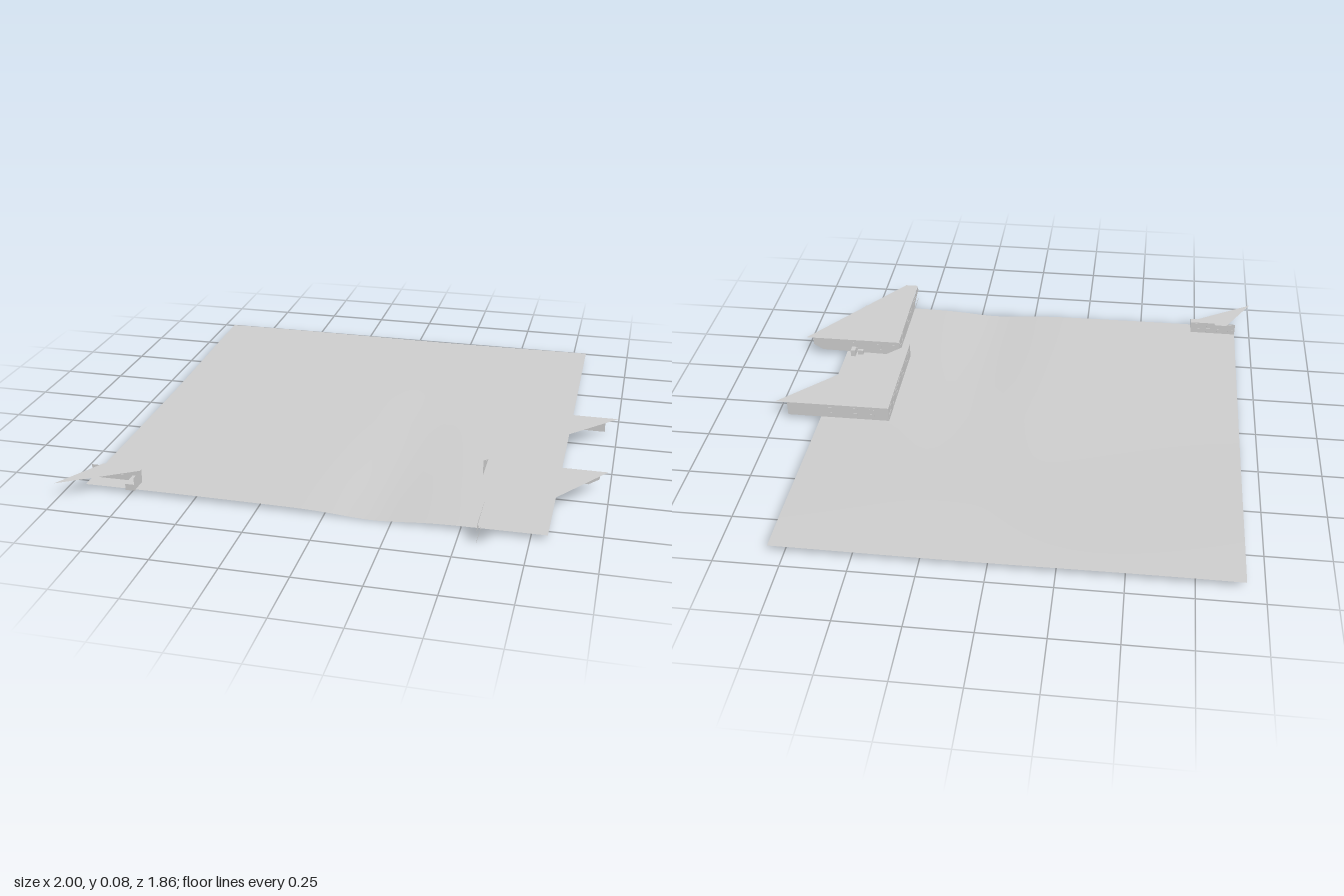
import * as THREE from 'three';

export function createModel() {
  const model = new THREE.Group();
  const grey = new THREE.MeshStandardMaterial({ color: 0xcccccc, side: THREE.DoubleSide });
  grey.name = 'plain grey';

  function add(parent, name, geometry) {
    const mesh = new THREE.Mesh(geometry, grey);
    mesh.name = name;
    parent.add(mesh);
    return mesh;
  }
  // Flat sheet from [x, z] corners at height y
  function slab(parent, name, corners, y) {
    const shape = new THREE.Shape(corners.map(([x, z]) => new THREE.Vector2(x, z)));
    add(parent, name, new THREE.ShapeGeometry(shape).rotateX(Math.PI / 2)).position.y = y;
  }
  // Wall in the plane z = const, from [x, y] corners
  function wallX(parent, name, corners, z) {
    const shape = new THREE.Shape(corners.map(([x, y]) => new THREE.Vector2(x, y)));
    add(parent, name, new THREE.ShapeGeometry(shape)).position.z = z;
  }
  // Wall in the plane x = const, from [z, y] corners
  function wallZ(parent, name, corners, x) {
    const shape = new THREE.Shape(corners.map(([z, y]) => new THREE.Vector2(-z, y)));
    add(parent, name, new THREE.ShapeGeometry(shape).rotateY(Math.PI / 2)).position.x = x;
  }
  function box(parent, name, w, h, d, x, y, z) {
    add(parent, name, new THREE.BoxGeometry(w, h, d)).position.set(x, y, z);
  }
  const rect = (a, b, low, high) => [[a, low], [b, low], [b, high], [a, high]];

  // Gently rolling ground: a rise to the back and a shallow valley at the front
  const ground = new THREE.PlaneGeometry(1.74, 1.74, 40, 40).rotateX(-Math.PI / 2).translate(-0.06, 0, -0.06);
  const p = ground.attributes.position;
  for (let i = 0; i < p.count; i++) {
    const x = p.getX(i), z = p.getZ(i);
    const rise = 0.013 * THREE.MathUtils.smoothstep(-z, 0, 0.93);
    const valley = 0.015 * Math.exp(-(((x - 0.18) / 0.16) ** 2)) * THREE.MathUtils.smoothstep(z, -0.6, 0.7);
    const ripple = 0.002 * Math.sin(x * 4 + 1) * Math.cos(z * 3);
    p.setY(i, 0.017 + rise - valley + ripple);
  }
  ground.computeVertexNormals();
  add(model, 'ground', ground);

  // Rear large building
  const rear = new THREE.Group();
  rear.name = 'rearBuilding';
  model.add(rear);
  slab(rear, 'roof', [[0.52, -0.1], [1, -0.1], [0.52, 0.4]], 0.08);
  wallX(rear, 'backWall', rect(0.52, 0.95, 0.018, 0.08), -0.1);
  wallZ(rear, 'sideWall', rect(-0.1, 0.4, 0.015, 0.08), 0.52);

  // Front large building, its end wall cut short below
  const front = new THREE.Group();
  front.name = 'frontBuilding';
  model.add(front);
  slab(front, 'roof', [[0.57, 0.4], [0.99, 0.4], [0.63, 0.91], [0.575, 0.91]], 0.083);
  wallX(front, 'backWall', [[0.57, 0.018], [0.92, 0.025], [0.96, 0.05], [0.96, 0.083], [0.57, 0.083]], 0.4);
  wallZ(front, 'sideWall', [[0.4, 0.015], [0.8, 0.018], [0.82, 0.045], [0.91, 0.06], [0.91, 0.083], [0.4, 0.083]], 0.573);
  wallZ(front, 'baseStrip', rect(0.4, 0.91, 0.014, 0.02), 0.573);
  box(front, 'step', 0.02, 0.03, 0.035, 0.775, 0.033, 0.385);
  box(front, 'step', 0.025, 0.02, 0.015, 0.745, 0.028, 0.393);

  // Windows on the large buildings, upper and lower rows
  const rows = [
    [0.06, [0.82, 0.79, 0.72, 0.69, 0.62, 0.5, 0.42, 0.35, 0.28, 0.2, 0.15, 0.125, 0.09, 0.06, 0.02, -0.05]],
    [0.035, [0.65, 0.49, 0.45, 0.32, 0.22, 0.08, 0, -0.06, -0.08]],
  ];
  for (const [y, list] of rows) for (const z of list)
    box(z > 0.4 ? front : rear, 'window', 0.004, 0.018, 0.018, z > 0.4 ? 0.573 : 0.52, y, z);
  for (const x of [0.59, 0.66, 0.77]) for (const y of [0.035, 0.06])
    for (const [group, z] of [[rear, -0.1], [front, 0.4]])
      box(group, 'window', 0.018, 0.018, 0.004, x, y, z);

  // Small house in the front corner
  const house = new THREE.Group();
  house.name = 'smallHouse';
  model.add(house);
  slab(house, 'roof', [[-1, 0.925], [-0.89, 0.73], [-0.84, 0.73], [-0.835, 0.745], [-0.73, 0.745], [-0.73, 0.757]], 0.07);
  wallX(house, 'backWall', rect(-0.93, -0.73, 0.015, 0.07), 0.745);
  wallZ(house, 'sideWall', rect(0.745, 0.82, 0.015, 0.07), -0.73);
  box(house, 'porch', 0.035, 0.025, 0.07, -0.748, 0.03, 0.785);
  for (const x of [-0.91, -0.86, -0.81, -0.76]) for (const y of [0.032, 0.055])
    box(house, 'window', 0.02, 0.018, 0.004, x, y, 0.745);

  return model;
}
